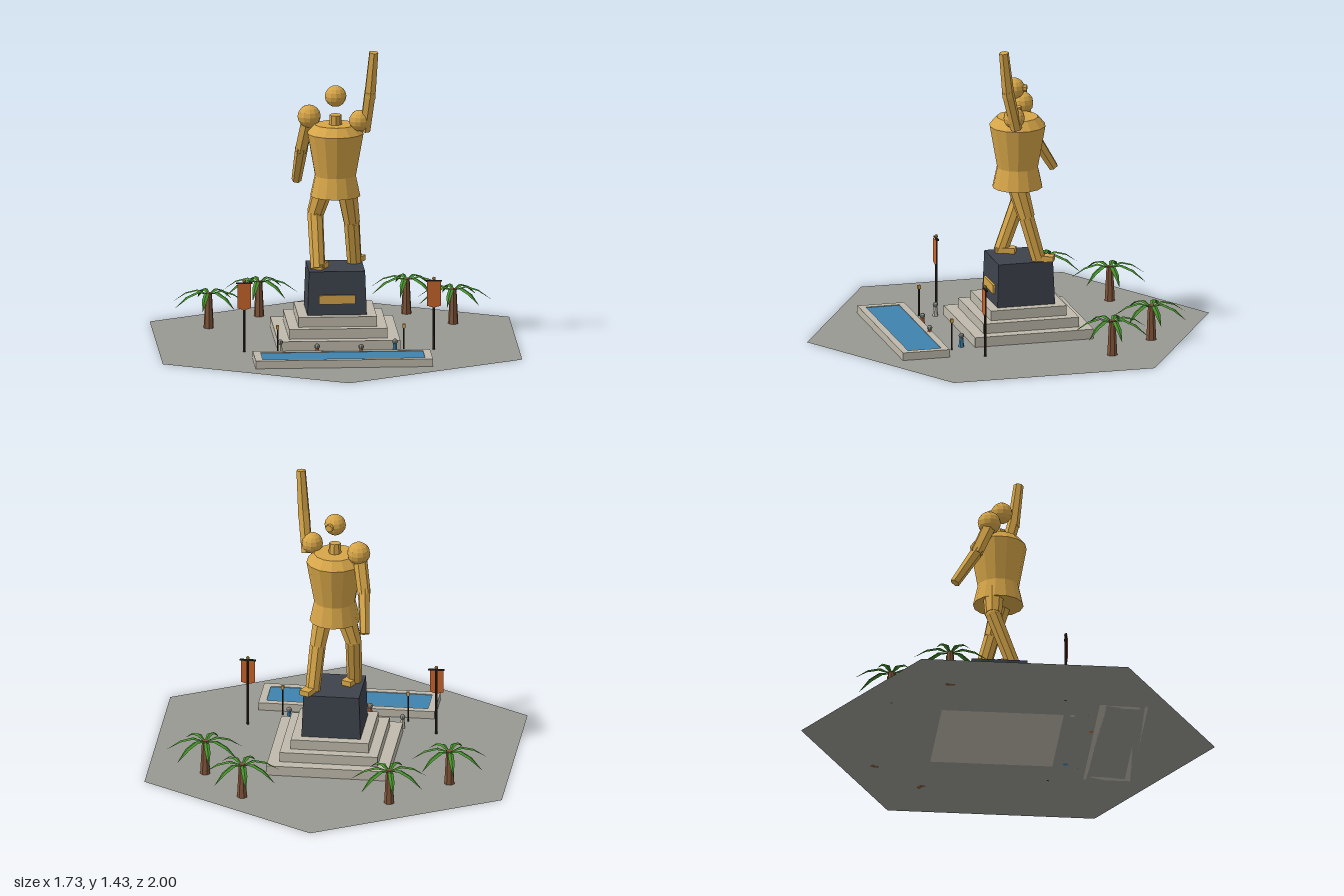
import * as THREE from 'three';

const mat = (name, color, side = THREE.FrontSide) => {
  const m = new THREE.MeshStandardMaterial({ color, flatShading: true, side });
  m.name = name;
  return m;
};

export function createModel() {
  const root = new THREE.Group();
  root.name = 'statuePlaza';
  const ground = mat('paving', 0x989892, THREE.DoubleSide);
  const stone = mat('stone', 0xbfbaac);
  const slate = mat('slate', 0x3d424c);
  const gold = mat('gold', 0xd6a548);
  const water = mat('water', 0x3f82ad);
  const bark = mat('bark', 0x80553a);
  const leaf = mat('leaf', 0x46902c, THREE.DoubleSide);
  const cloth = mat('orangeCloth', 0xc8642c, THREE.DoubleSide);
  const iron = mat('iron', 0x2e2622);
  const grey = mat('grey', 0x888c84);

  const add = (name, geo, material, x = 0, y = 0, z = 0, parent = root) => {
    const m = new THREE.Mesh(geo, material);
    m.name = name;
    m.position.set(x, y, z);
    parent.add(m);
    return m;
  };
  const box = (w, h, d) => new THREE.BoxGeometry(w, h, d);
  const cyl = (top, bottom, h, sides) => new THREE.CylinderGeometry(top, bottom, h, sides);
  const group = (name, x = 0, y = 0, z = 0) => {
    const g = new THREE.Group();
    g.name = name;
    g.position.set(x, y, z);
    root.add(g);
    return g;
  };

  // Hexagonal paving with corners on the z axis
  const hex = new THREE.CircleGeometry(1, 6).rotateZ(Math.PI / 6).rotateX(-Math.PI / 2);
  add('paving', hex, ground);

  // Steps and tapered pedestal
  const cz = -0.053;
  [0.59, 0.475, 0.378].forEach((s, i) => add('step', box(s, 0.048, s), stone, 0, 0.024 + i * 0.048, cz));
  const pedestal = cyl(0.135 * Math.SQRT2, 0.143 * Math.SQRT2, 0.212, 4).rotateY(Math.PI / 4);
  add('pedestal', pedestal, slate, 0, 0.25, cz);
  add('plaque', box(0.175, 0.043, 0.018), gold, 0, 0.22, 0.089);

  // Statue
  const statue = group('statue');
  const limb = (name, a, b, r0, r1, sides = 8) => {
    const p = new THREE.Vector3(...a), q = new THREE.Vector3(...b);
    const m = add(name, cyl(r1, r0, p.distanceTo(q), sides), gold, 0, 0, 0, statue);
    m.position.copy(p).add(q).multiplyScalar(0.5);
    m.quaternion.setFromUnitVectors(new THREE.Vector3(0, 1, 0), q.sub(p).normalize());
  };
  const ball = (name, p, r) => add(name, new THREE.SphereGeometry(r, 12, 8), gold, ...p, statue);
  const tz = -0.047;
  add('hips', cyl(0.1, 0.122, 0.1, 14), gold, 0, 0.754, tz, statue);
  add('torso', cyl(0.137, 0.1, 0.207, 14), gold, 0, 0.9075, tz, statue);
  add('upperChest', cyl(0.1, 0.137, 0.043, 14), gold, 0, 1.0325, tz, statue);
  limb('neck', [0, 1.04, -0.043], [0, 1.102, -0.038], 0.032, 0.028);
  ball('head', [0, 1.195, -0.03], 0.052);
  limb('face', [0.01, 1.197, -0.05], [0.024, 1.197, -0.088], 0.023, 0.018);

  // Raised arm
  ball('shoulder', [0.115, 1.08, 0], 0.052);
  limb('raisedUpperArm', [0.14, 1.03, -0.005], [0.162, 1.23, 0.045], 0.028, 0.03, 6);
  limb('raisedForearm', [0.16, 1.2, 0.04], [0.178, 1.428, 0.068], 0.03, 0.024, 6);
  // Lowered arm
  ball('shoulder', [-0.123, 1.083, -0.102], 0.056);
  limb('loweredUpperArm', [-0.128, 1.07, -0.1], [-0.158, 0.9, -0.17], 0.034, 0.032, 6);
  limb('loweredForearm', [-0.155, 0.92, -0.16], [-0.173, 0.735, -0.273], 0.031, 0.024, 6);

  // Legs in a walking pose, feet turned to the walking direction
  const leg = (hip, knee, ankle) => {
    limb('thigh', hip, knee, 0.052, 0.041);
    limb('shin', knee, ankle, 0.039, 0.036);
    ball('knee', knee, 0.038);
    const foot = add('foot', box(0.052, 0.026, 0.095), gold, ankle[0] + 0.014, 0.369, ankle[2] - 0.024, statue);
    foot.rotation.y = -0.42;
  };
  leg([-0.052, 0.75, -0.075], [-0.095, 0.61, -0.08], [-0.088, 0.358, 0.015]);
  leg([0.052, 0.75, -0.025], [0.08, 0.57, -0.07], [0.097, 0.358, -0.127]);

  // Reflecting pool: four rim walls and a water sheet
  const pool = group('pool', 0, 0, 0.52);
  for (const s of [-1, 1]) {
    add('poolRimLong', box(0.854, 0.038, 0.034), stone, 0, 0.019, s * 0.0995, pool);
    add('poolRimShort', box(0.036, 0.038, 0.165), stone, s * 0.409, 0.019, 0, pool);
  }
  add('water', box(0.782, 0.034, 0.165), water, 0, 0.018, 0, pool);

  // Palms with seven arched fronds; each frond is a ridged strip of cross-sections
  const frondGeo = () => {
    const rows = [[0, 0.165, 0.004], [0.06, 0.184, 0.014], [0.12, 0.165, 0.013], [0.186, 0.115, 0.0005]];
    const pos = [], idx = [];
    rows.forEach(([r, y, w], i) => {
      pos.push(r, y - w * 0.4, -w, r, y, 0, r, y - w * 0.4, w);
      if (i) for (const k of [0, 1]) {
        const a = (i - 1) * 3 + k, b = i * 3 + k;
        idx.push(a, a + 1, b, b, a + 1, b + 1);
      }
    });
    const g = new THREE.BufferGeometry();
    g.setAttribute('position', new THREE.Float32BufferAttribute(pos, 3));
    g.setIndex(idx);
    g.computeVertexNormals();
    return g;
  };
  const frond = frondGeo();
  for (const [x, z] of [[-0.592, -0.335], [-0.333, -0.595], [0.378, -0.612], [0.588, -0.362]]) {
    const palm = group('palm', x, 0, z);
    add('trunk', cyl(0.016, 0.025, 0.172, 7), bark, 0, 0.086, 0, palm);
    for (let i = 0; i < 7; i++) add('frond', frond, leaf, 0, 0, 0, palm).rotation.y = -i * Math.PI * 2 / 7;
  }

  // Banners and lamp posts, mirrored
  const flag = new THREE.Shape([[-0.033, 0.335], [-0.033, 0.216], [0, 0.206], [0.033, 0.216], [0.033, 0.335]]
    .map(p => new THREE.Vector2(...p)));
  for (const s of [-1, 1]) {
    const banner = group('banner', s * 0.457, 0, 0.235);
    add('bannerPole', cyl(0.006, 0.007, 0.345, 6), iron, 0, 0.1725, 0, banner);
    add('crossbar', box(0.078, 0.007, 0.008), iron, 0, 0.337, 0, banner);
    add('flag', new THREE.ShapeGeometry(flag), cloth, 0, 0, 0.008, banner);
    add('finial', new THREE.SphereGeometry(0.009, 6, 4), gold, 0, 0.348, 0, banner);
    const lamp = group('lampPost', s * 0.304, 0, 0.362);
    add('lampPole', cyl(0.004, 0.004, 0.142, 6), iron, 0, 0.071, 0, lamp);
    add('lampHead', box(0.014, 0.018, 0.014), gold, 0, 0.145, 0, lamp);
  }

  // Visitors
  const visitors = [[-0.287, 0.285, stone], [-0.116, 0.395, cloth], [0.095, 0.415, cloth], [0.265, 0.303, water]];
  for (const [x, z, coat] of visitors) {
    const person = group('visitor', x, 0, z);
    add('body', cyl(0.009, 0.014, 0.048, 6), coat, 0, 0.024, 0, person);
    add('head', new THREE.SphereGeometry(0.0135, 8, 6), grey, 0, 0.056, 0, person);
  }
  return root;
}
